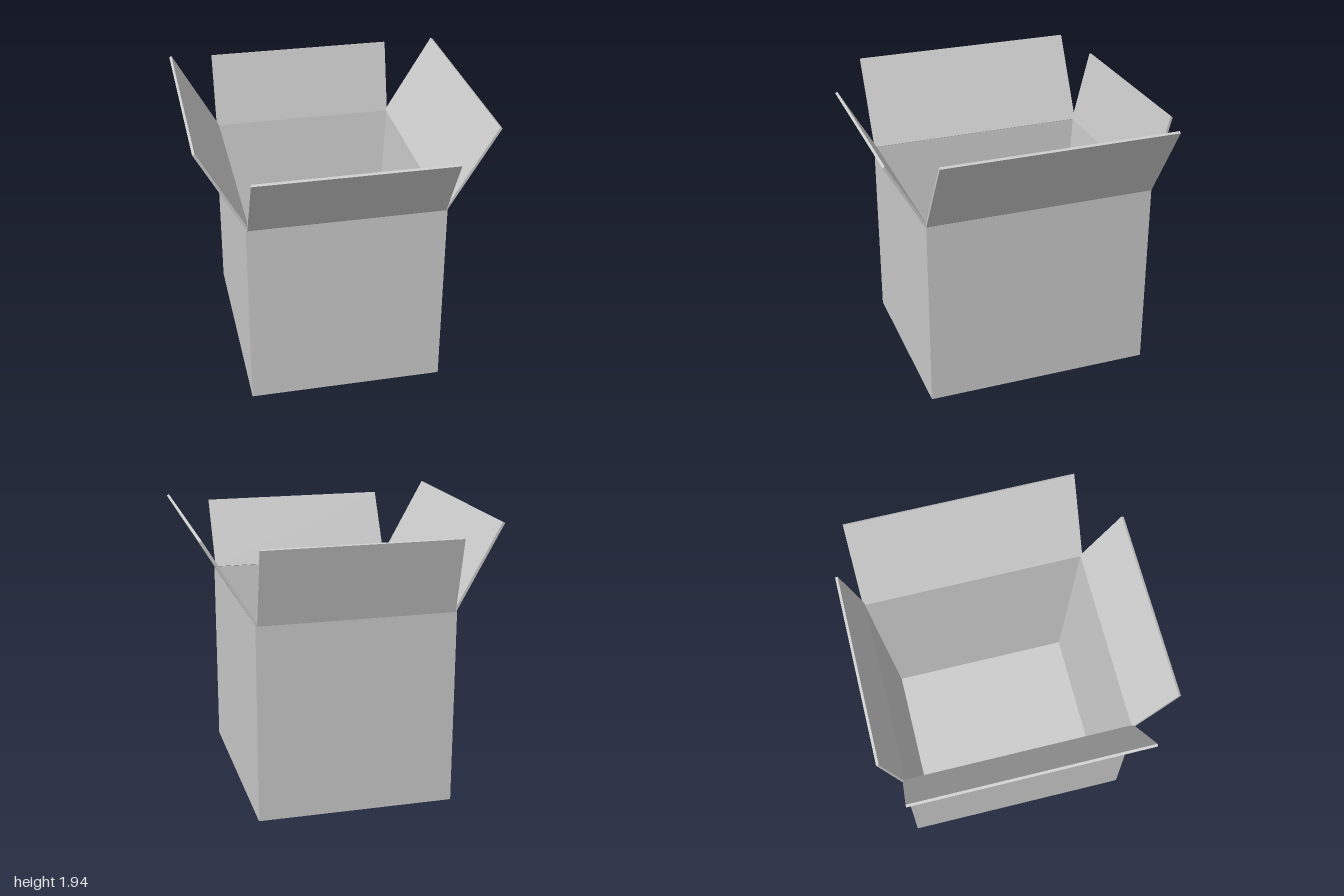
import * as THREE from 'three';

const material = new THREE.MeshStandardMaterial({ color: 0xcccccc, flatShading: true, side: THREE.DoubleSide });

const THICK = 0.018;
const HEIGHT = 1.355;

// Rectangular cross-section at height y, counter-clockwise seen from above
const ring = (x0, x1, z0, z1, y) => [[x0, y, z1], [x1, y, z1], [x1, y, z0], [x0, y, z0]];

// Open carton: outer wall, narrow rim, then inner walls tapering to the floor
function cartonGeometry() {
  const rings = [
    ring(-0.69, 0.66, -0.87, 0.73, 0),
    ring(-0.69, 0.66, -0.87, 0.73, HEIGHT),
    ring(-0.678, 0.648, -0.858, 0.718, HEIGHT),
    ring(-0.57, 0.54, -0.73, 0.59, 0.03),
  ];
  const positions = [];
  const quad = (a, b, c, d) => positions.push(...a, ...b, ...c, ...a, ...c, ...d);
  for (let r = 0; r < rings.length - 1; r++) {
    for (let i = 0; i < 4; i++) {
      const j = (i + 1) % 4;
      quad(rings[r][i], rings[r][j], rings[r + 1][j], rings[r + 1][i]);
    }
  }
  quad(...rings[3]); // inside floor
  quad(...[...rings[0]].reverse()); // underside
  const geometry = new THREE.BufferGeometry();
  geometry.setAttribute('position', new THREE.Float32BufferAttribute(positions, 3));
  geometry.computeVertexNormals();
  return geometry;
}

// Thin panel rising from a hinge line to its free edge; axis is the lean direction
function makeFlap(name, axis, hinge, tip, tipY, from, to) {
  const rise = tipY - HEIGHT;
  const lean = tip - hinge;
  const length = Math.hypot(rise, lean);
  const width = to - from;
  const middle = (from + to) / 2;
  const centre = (hinge + tip) / 2;
  const y = (HEIGHT + tipY) / 2;
  const alongX = axis === 'x';
  const geometry = alongX
    ? new THREE.BoxGeometry(THICK, length, width)
    : new THREE.BoxGeometry(width, length, THICK);
  const flap = new THREE.Mesh(geometry, material);
  flap.name = name;
  if (alongX) {
    flap.position.set(centre, y, middle);
    flap.rotation.z = -Math.atan2(lean, rise);
  } else {
    flap.position.set(middle, y, centre);
    flap.rotation.x = Math.atan2(lean, rise);
  }
  return flap;
}

export function createModel() {
  const model = new THREE.Group();
  model.name = 'openCardboardBox';

  const carton = new THREE.Mesh(cartonGeometry(), material);
  carton.name = 'carton';
  model.add(carton);

  // Four flaps, each opened to its own angle
  model.add(
    makeFlap('leftFlap', 'x', 0.649, 0.99, 1.92, -0.87, 0.73),
    makeFlap('rightFlap', 'x', -0.674, -0.992, 1.935, -0.87, 0.73),
    makeFlap('frontFlap', 'z', 0.724, 0.986, 1.818, -0.68, 0.65),
    makeFlap('backFlap', 'z', -0.862, -0.988, 1.872, -0.68, 0.65),
  );
  return model;
}
